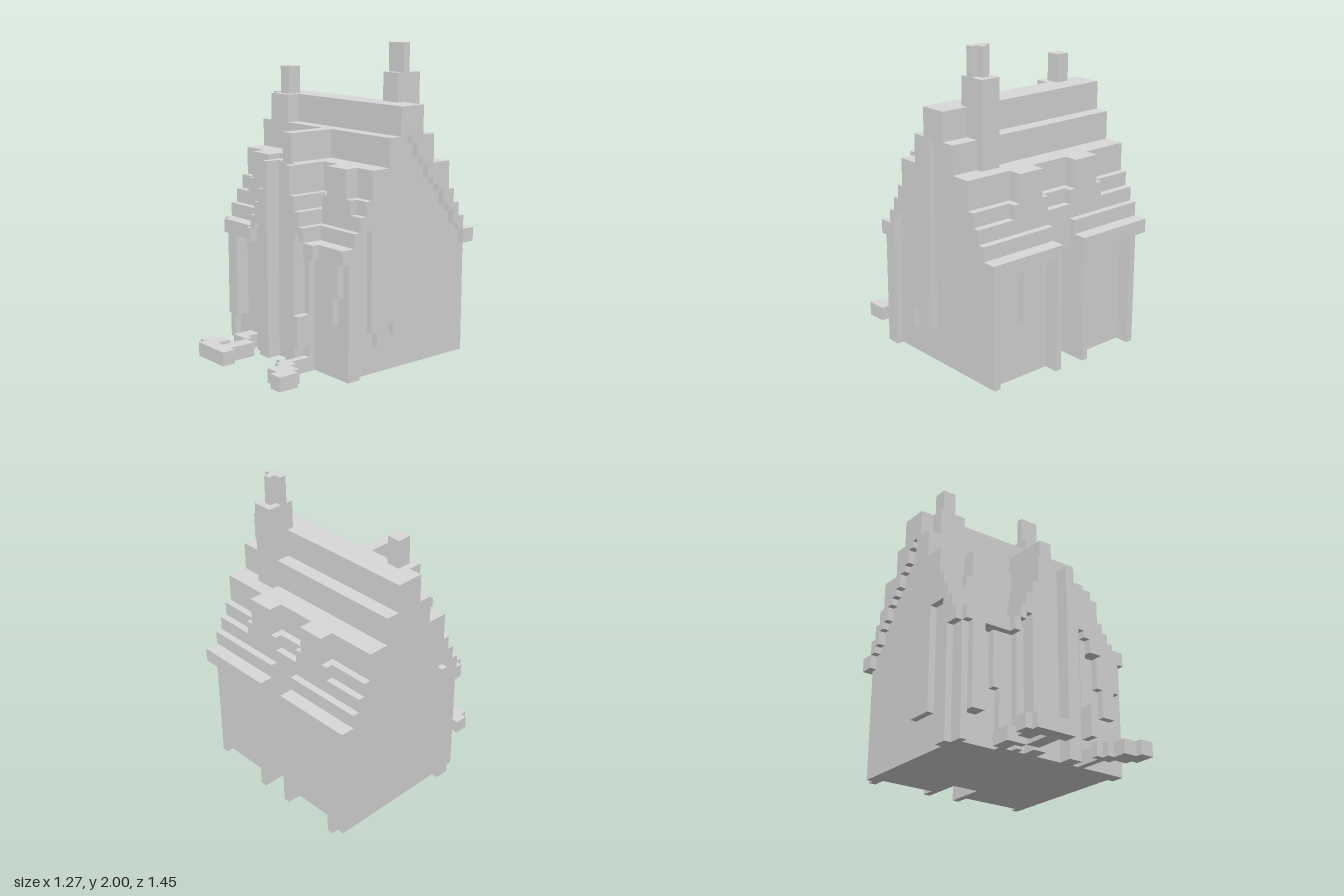
import * as THREE from 'three';

const U = 2 / 44; // one block
const stone = new THREE.MeshStandardMaterial({ color: 0xd8d8d8 });
stone.name = 'stone grey';

export function createModel() {
  const house = new THREE.Group();
  house.name = 'blockHouse';

  // box from block coordinates
  const box = (name, x0, x1, y0, y1, z0, z1) => {
    const g = new THREE.BoxGeometry((x1 - x0) * U, (y1 - y0) * U, (z1 - z0) * U);
    const m = new THREE.Mesh(g, stone);
    m.position.set((x0 + x1) / 2 * U, (y0 + y1) / 2 * U, (z0 + z1) / 2 * U);
    m.name = name;
    house.add(m);
  };
  const pair = (name, x0, x1, ...r) => {
    box(name, x0, x1, ...r);
    box(name, -x1, -x0, ...r);
  };

  // main walls, with a deep recess between two wings at the back
  box('walls', -13, 13, 0, 18, -10, 6);
  pair('backWing', 2, 13, 0, 18, -14, -10);
  box('recessLintel', -2, 2, 16, 18, -13, -10);

  // stepped roof: bottom, top, back, front
  const tiers = [
    [16, 20, -13, 6], [20, 22, -13, 5], [22, 24, -12, 4],
    [24, 28, -11, 3], [28, 32, -8, 0], [32, 36, -6, -2],
  ];
  for (const [y0, y1, z0, z1] of tiers) box('roofTier', -13, 13, y0, y1, z0, z1);

  // back eaves in two wings
  pair('backEave', 2, 14, 16, 18, -16, -14);
  pair('backEaveStep', 2, 14, 18, 20, -14, -13);

  // gable edges of the roof, with a stepped underside and hanging side panels
  const roofTop = (z) => {
    let top = 18;
    for (const [, y1, z0, z1] of tiers) if (z > z0 && z < z1) top = Math.max(top, y1);
    return top;
  };
  const rightPanel = [5, 5, 7, 7, 4, 6];
  const leftPanel = [5, 5, 5, 5, 20, 20];
  for (let z = -14; z < 8; z++) {
    const top = roofTop(z + 0.5);
    for (const side of [-1, 1]) {
      if (side < 0 && z === 7) continue;
      let low = 16;
      if (z < -3) low = 32 - Math.round((-4 - z) * 1.4);
      else if (z < 3) low = (side < 0 ? leftPanel : rightPanel)[z + 3];
      else if (z < 5) low = 22 - Math.ceil(z * 0.6);
      const x = side < 0 ? -14 : 13;
      box('roofEdge', x, x + 1, low, Math.max(top, low + 1), z, z + 1);
    }
  }

  // front eave wings
  box('frontEave', -13, -5, 16, 18, 5, 8);
  box('frontEave', 7, 13, 16, 18, 5, 8);

  // dormers
  pair('backDormer', 3, 7, 22, 28, -13, -10);
  pair('backDormerTrim', 2, 8, 22, 24, -13, -11);
  box('frontDormer', -10, -6, 20, 28, 2, 5);
  box('frontDormer', 7, 11, 20, 28, 2, 5);
  box('frontDormerTrim', -11, -5, 20, 24, 3, 5);
  box('frontDormerTrim', 6, 12, 20, 24, 3, 5);

  // entrance gable with its stepped roof and recessed doorway
  box('gableRidge', 0, 2, 28, 32, 0, 7);
  box('gableBody', -2, 4, 0, 28, 0, 7);
  box('gableVerge', -2, -1, 18, 28, 7, 9);
  box('gableVerge', 3, 4, 18, 28, 7, 9);
  [[24, 19], [22, 19], [20, 18], [18, 16]].forEach(([top, low], i) => {
    box('gableStep', -3 - i, -2 - i, low, top, 0, 9);
    box('gableStep', 4 + i, 5 + i, low, top, 0, 9);
  });
  box('gableEave', 8, 9, 16, 18, 5, 9);
  box('gableWall', -7, -2, 0, 18, 5, 7);
  box('gableWall', 4, 7, 0, 18, 5, 7);
  box('entrancePier', -3, -1, 0, 19, 6, 9);
  box('entrancePier', 3, 5, 0, 19, 6, 9);
  box('entrancePost', -5, -4, 0, 18, 6, 8);
  box('entrancePost', 6, 7, 0, 18, 6, 8);
  box('doorStep', -1, 3, 0, 6, 6, 7);

  // front wings: flush wall on one side, framed recess on the other
  box('frontWingWall', 7, 13, 0, 17, 5, 7);
  box('frontWingWall', -13, -12, 0, 17, 5, 7);
  box('recessFrame', -8, -7, 8, 17, 5, 7);
  box('shutter', -12, -10, 4, 16, 6, 8);
  box('hangingPlant', 9, 13, 11.5, 16, 7, 8);
  box('hangingPlantTip', 10, 12, 7.5, 11.5, 7, 8);

  // corner posts
  box('rightCornerPost', 13, 14, 0, 17, 5, 7);
  box('leftCornerPost', -14, -13, 0, 19, 3, 5);
  pair('backCorner', 12, 13, 0, 17, -15, -14);
  box('backPost', -12, -11, 0, 16, -16, -14);
  pair('backInnerPost', 2, 3, 0, 16, -16, -14);

  // windows
  pair('backWindow', 4, 8, 8, 16, -15, -14);

  // chimneys
  box('smallChimneyBase', -12, -8, 32, 36, -2, 0);
  box('smallChimney', -11, -9, 34, 40, -3, -1);
  box('tallChimney', 7, 10, 28, 40, -9, -5);
  box('tallChimneyTop', 7, 10, 40, 44, -7, -6);
  box('tallChimneyRib', 8, 9, 40, 44, -8, -7);

  // planting and paving in front
  box('hangingLamp', 6, 7, 3.5, 8, 8, 10);
  const paving = [
    [-8, -5, 9, 10], [-8, -6, 7, 9], [-5, -3, 10, 14], [-8, -6, 12, 14],
    [-9, -6, 13, 15], [-8, -2, 14, 16], [6, 7, 8, 11], [5, 8, 11, 12],
    [6, 7, 12, 13], [7, 10, 12, 15], [9, 11, 13, 16],
  ];
  for (const [x0, x1, z0, z1] of paving) box('paving', x0, x1, 0, 2, z0, z1);

  return house;
}
